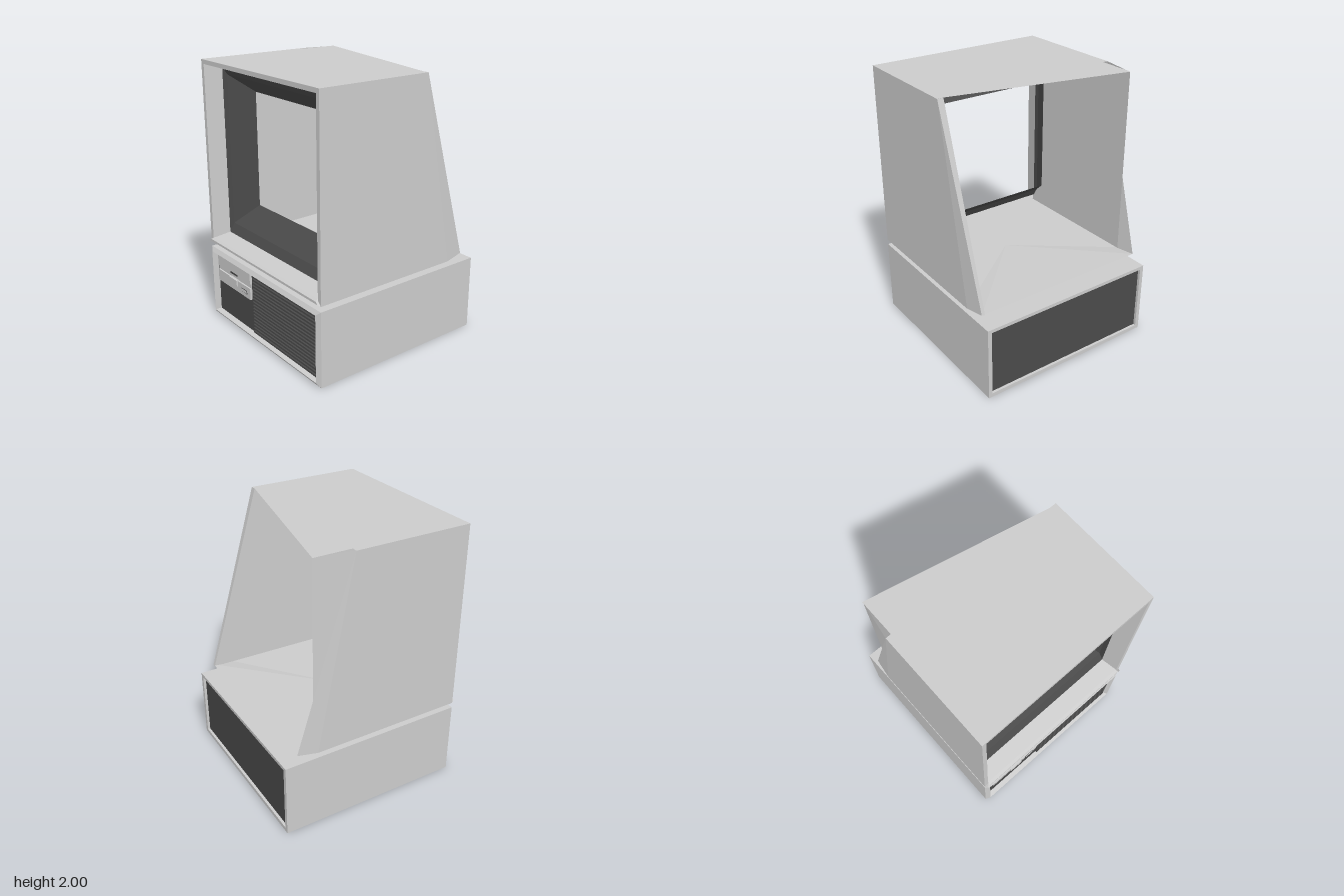
import * as THREE from 'three';

const grey = new THREE.MeshStandardMaterial({ color: 0xcccccc, side: THREE.DoubleSide });
const dark = new THREE.MeshStandardMaterial({ color: 0x4a4a4a, side: THREE.DoubleSide });

export function createModel() {
  const model = new THREE.Group();

  const add = (name, geometry, material = grey, parent = model) => {
    const mesh = new THREE.Mesh(geometry, material);
    mesh.name = name;
    parent.add(mesh);
  };

  const group = (name, parent) => {
    const g = new THREE.Group();
    g.name = name;
    parent.add(g);
    return g;
  };

  // Box given by its limits on each axis
  const box = (name, x0, x1, y0, y1, z0, z1, material, parent) => {
    const g = new THREE.BoxGeometry(x1 - x0, y1 - y0, z1 - z0);
    g.translate((x0 + x1) / 2, (y0 + y1) / 2, (z0 + z1) / 2);
    add(name, g, material, parent);
  };

  // Flat polygons, each a fan of corners in counter-clockwise order
  const faces = (polygons) => {
    const p = [];
    for (const c of polygons)
      for (let i = 1; i < c.length - 1; i++) p.push(...c[0], ...c[i], ...c[i + 1]);
    const g = new THREE.BufferGeometry();
    g.setAttribute('position', new THREE.Float32BufferAttribute(p, 3));
    g.computeVertexNormals();
    return g;
  };

  // Rectangular cross-sections (upright or level) and a skin joining them
  const rect = (x, y0, y1, z) => [[-x, y0, z], [x, y0, z], [x, y1, z], [-x, y1, z]];
  const level = (x, y, z0, z1) => [[-x, y, z1], [x, y, z1], [x, y, z0], [-x, y, z0]];
  const skin = (rings) => {
    const polygons = [];
    for (let r = 0; r < rings.length - 1; r++)
      for (let i = 0; i < 4; i++) {
        const j = (i + 1) % 4, a = rings[r], b = rings[r + 1];
        polygons.push([a[i], a[j], b[j], b[i]]);
      }
    return faces(polygons);
  };

  // Lower case: hollow box with chamfered front rim and recessed ends
  const base = group('base', model);
  add('baseShell', skin([
    rect(0.67, 0.03, 0.535, -0.685), rect(0.67, 0.03, 0.535, -0.71),
    rect(0.7, 0, 0.56, -0.71), rect(0.7, 0, 0.56, 0.69),
    rect(0.665, 0.03, 0.53, 0.71), rect(0.635, 0.045, 0.523, 0.67),
  ]), grey, base);
  box('baseBackPanel', -0.67, 0.67, 0.03, 0.535, -0.69, -0.685, dark, base);
  box('baseFrontPanel', -0.635, 0.635, 0.045, 0.523, 0.665, 0.672, dark, base);

  // Cooling louvres
  const slats = 18, pitch = 0.474 / slats;
  for (let i = 0; i < slats; i++) {
    const s = new THREE.Shape([
      new THREE.Vector2(0, 0), new THREE.Vector2(0.014, pitch * 0.08),
      new THREE.Vector2(0.014, pitch * 0.6), new THREE.Vector2(0, pitch * 0.85),
    ]);
    const g = new THREE.ExtrudeGeometry(s, { depth: 0.77, bevelEnabled: false });
    g.rotateY(-Math.PI / 2);
    g.translate(0.635, 0.047 + i * pitch, 0.672);
    add('louvre', g, dark, base);
  }

  // Disk drive: face plates around a slot, latch and eject button
  const drive = group('diskDrive', base);
  box('driveLowerPlate', -0.615, -0.16, 0.305, 0.395, 0.67, 0.69, grey, drive);
  box('driveUpperPlate', -0.615, -0.16, 0.43, 0.515, 0.67, 0.69, grey, drive);
  box('driveSlotBack', -0.615, -0.16, 0.395, 0.43, 0.67, 0.678, grey, drive);
  box('driveSlot', -0.6, -0.175, 0.422, 0.43, 0.676, 0.68, dark, drive);
  box('driveLatch', -0.44, -0.33, 0.352, 0.4, 0.68, 0.702, grey, drive);
  box('driveLatchGap', -0.435, -0.335, 0.428, 0.442, 0.685, 0.692, dark, drive);
  box('driveButtonRim', -0.282, -0.203, 0.333, 0.362, 0.685, 0.692, dark, drive);
  box('driveButton', -0.277, -0.208, 0.338, 0.357, 0.685, 0.696, grey, drive);

  // Tapered neck between case and monitor
  add('neck', skin([level(0.63, 0.56, -0.41, 0.64), level(0.7, 0.6, -0.46, 0.69)]));

  // Monitor housing, open at the back, with a skewed rear edge on top
  const monitor = group('monitor', model);
  add('housingTop', faces([
    [[-0.7, 2, 0.69], [0.7, 2, 0.69], [0.7, 2, -0.19], [-0.7, 2, -0.19]],
    [[-0.66, 2, -0.19], [0.65, 2, -0.19], [-0.66, 2, -0.47]],
  ]), grey, monitor);
  // Floor fans out from its middle and lifts a little at the rear edge
  add('housingFloor', faces([[
    [0, 0.602, 0.08], [0.7, 0.6, 0.69], [0.7, 0.6, -0.46], [0.68, 0.62, -0.61],
    [-0.68, 0.62, -0.61], [-0.7, 0.6, -0.46], [-0.7, 0.6, 0.69], [0.7, 0.6, 0.69],
  ]]), grey, monitor);

  // Double side walls: outer skin, inner skin and the rear rim joining them
  for (const s of [1, -1]) {
    const w = s * 0.7, inner = s * 0.655;
    const topBack = [inner, 1.999, s > 0 ? -0.19 : -0.47];
    const lowBack = [inner, 0.615, s > 0 ? -0.61 : -0.47];
    const rimTop = [w, 2, -0.19], rimLow = [s * 0.68, 0.62, -0.61];
    const polygons = [
      [[w, 0.6, 0.69], [w, 0.6, -0.46], rimTop, [w, 2, 0.69]],
      [[w, 0.6, -0.46], rimLow, rimTop],
      [[inner, 1.999, 0.6], topBack, lowBack, [inner, 0.6, 0.6]],
      [rimTop, rimLow, lowBack, topBack],
    ];
    if (s < 0) polygons.forEach((c) => c.reverse());
    // Keep the rim's fold running from its top outer corner
    if (s < 0) polygons[3].unshift(polygons[3].pop());
    add(s > 0 ? 'leftSide' : 'rightSide', faces(polygons), grey, monitor);
  }

  // Front frame, lip and the dark funnel around the screen opening
  add('frontFrame', skin([
    rect(0.7, 0.6, 2, 0.69), rect(0.668, 0.635, 1.968, 0.69), rect(0.635, 0.665, 1.937, 0.56),
  ]), grey, monitor);
  const lip = [[0.7, 0.6, 0.69], [0.69, 0.615, 0.71], [0.67, 0.632, 0.71], [0.66, 0.643, 0.685]];
  const flip = ([x, y, z]) => [-x, y, z];
  add('frontLip', faces([
    ...lip.slice(1).map((b, i) => [flip(lip[i]), lip[i], b, flip(b)]),
    lip, lip.map(flip).reverse(),
  ]), grey, monitor);
  add('screenBezel', skin([
    rect(0.635, 0.665, 1.937, 0.56), rect(0.635, 0.73, 1.88, 0.52), rect(0.545, 0.86, 1.745, 0.34),
  ]), dark, monitor);

  return model;
}
